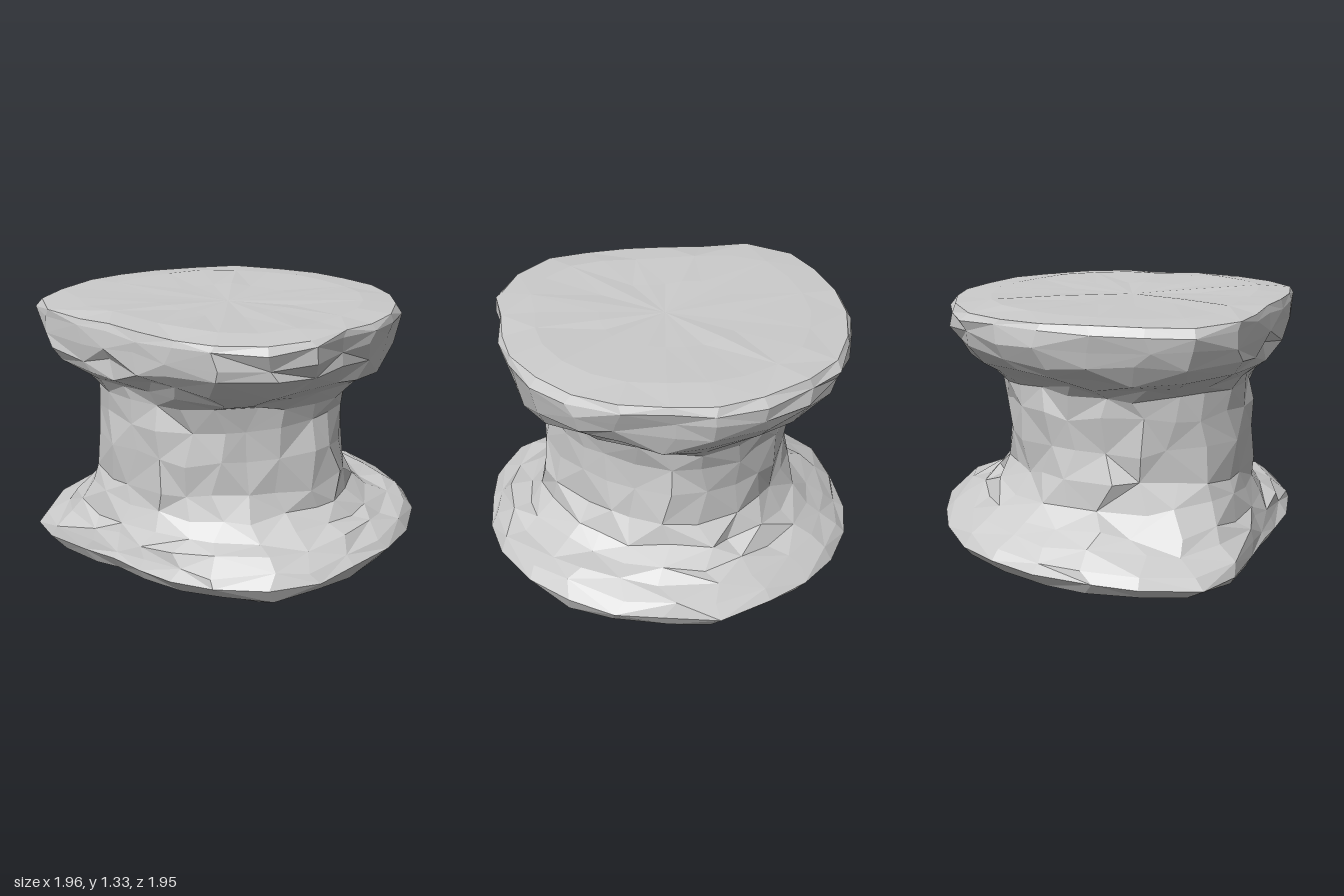
import * as THREE from 'three';

// Outline radii every 15 degrees, from +x round through +z
const BASE = [.985, .965, .955, .935, .935, .965, .975, .90, .83, .77, .765, .815,
  .93, 1.01, 1.0, .97, .965, .97, .985, .985, .985, 1.01, .99, .99];
const CAP = [.88, .87, .85, .83, .82, .885, .91, .89, .82, .76, .755, .80,
  .92, .98, .94, .92, .92, .92, .94, .93, .91, .90, .87, .88];
const NECK = [.58, .58, .60, .61, .60, .58, .58, .59, .61, .61, .62, .64,
  .65, .65, .64, .63, .62, .62, .62, .63, .64, .64, .62, .59];
const N = 24;

// Rings: [y, spread from neck (0) to outline (1), scale, tilt, roughness]
const BASE_RINGS = [
  [.025, 1, 0, 0, 0],
  [.01, 1, .5, .01, .3],
  [.045, 1, .83, .02, .5],
  [.09, 1, .94, .045, .7],
  [.16, 1, 1, .05, .5],
  [.215, .87, 1, .06, .8],
  [.265, .62, 1, .05, 1],
  [.315, .38, 1, .03, 1],
  [.39, .14, 1, 0, 1.1],
];
const NECK_RINGS = [
  [.50, .04, 1, 0, 1.3],
  [.66, 0, 1, 0, 1],
  [.82, 0, 1, 0, 1],
  [.93, .05, 1, 0, .8],
];
const CAP_RINGS = [
  [.99, .32, 1, -.01, 1],
  [1.05, .65, 1, -.01, 1],
  [1.13, .89, 1, .01, 1],
  [1.21, .96, 1, .01, .8],
  [1.28, 1, 1, 0, .5],
  [1.315, .92, 1, -.005, .3],
  [1.33, 1, .78, 0, .15],
  [1.325, 1, .4, 0, .3],
  [1.32, 1, 0, 0, 0],
];

let seed = 7;
function rand() {
  seed = (seed * 16807) % 2147483647;
  return (seed / 2147483647) * 2 - 1;
}

// One roughly hewn ring of points
function makeRing([y, spread, scale, tilt, rough], outline) {
  return outline.map((radius, j) => {
    const angle = (j / N) * Math.PI * 2 + rand() * .06 * rough;
    const r = (NECK[j] + (radius - NECK[j]) * spread) * scale + rand() * .022 * rough;
    const x = Math.cos(angle) * r;
    return new THREE.Vector3(x, y + tilt * x + rand() * .022 * rough, Math.sin(angle) * r);
  });
}

// Faceted skin between consecutive rings, with varied diagonals
function skin(name, rings, material) {
  const positions = [];
  const tri = (...points) => points.forEach((p) => positions.push(p.x, p.y, p.z));
  for (let i = 0; i < rings.length - 1; i++) {
    for (let j = 0; j < N; j++) {
      const k = (j + 1) % N;
      const a = rings[i][j], b = rings[i][k], c = rings[i + 1][j], d = rings[i + 1][k];
      if (i % 2 === j % 2) {
        tri(a, c, b);
        tri(b, c, d);
      } else {
        tri(a, c, d);
        tri(a, d, b);
      }
    }
  }
  const geometry = new THREE.BufferGeometry();
  geometry.setAttribute('position', new THREE.Float32BufferAttribute(positions, 3));
  geometry.computeVertexNormals();
  const mesh = new THREE.Mesh(geometry, material);
  mesh.name = name;
  return mesh;
}

export function createModel() {
  seed = 7;
  const group = new THREE.Group();
  group.name = 'stonePedestal';
  const material = new THREE.MeshStandardMaterial({ color: 0xcccccc, flatShading: true });

  const base = BASE_RINGS.map((ring) => makeRing(ring, BASE));
  const neck = NECK_RINGS.map((ring) => makeRing(ring, BASE));
  const cap = CAP_RINGS.map((ring) => makeRing(ring, CAP));

  // The neck shares its end rings with the base and the cap
  group.add(
    skin('base', base, material),
    skin('neck', [base.at(-1), ...neck, cap[0]], material),
    skin('topSlab', cap, material),
  );
  return group;
}
